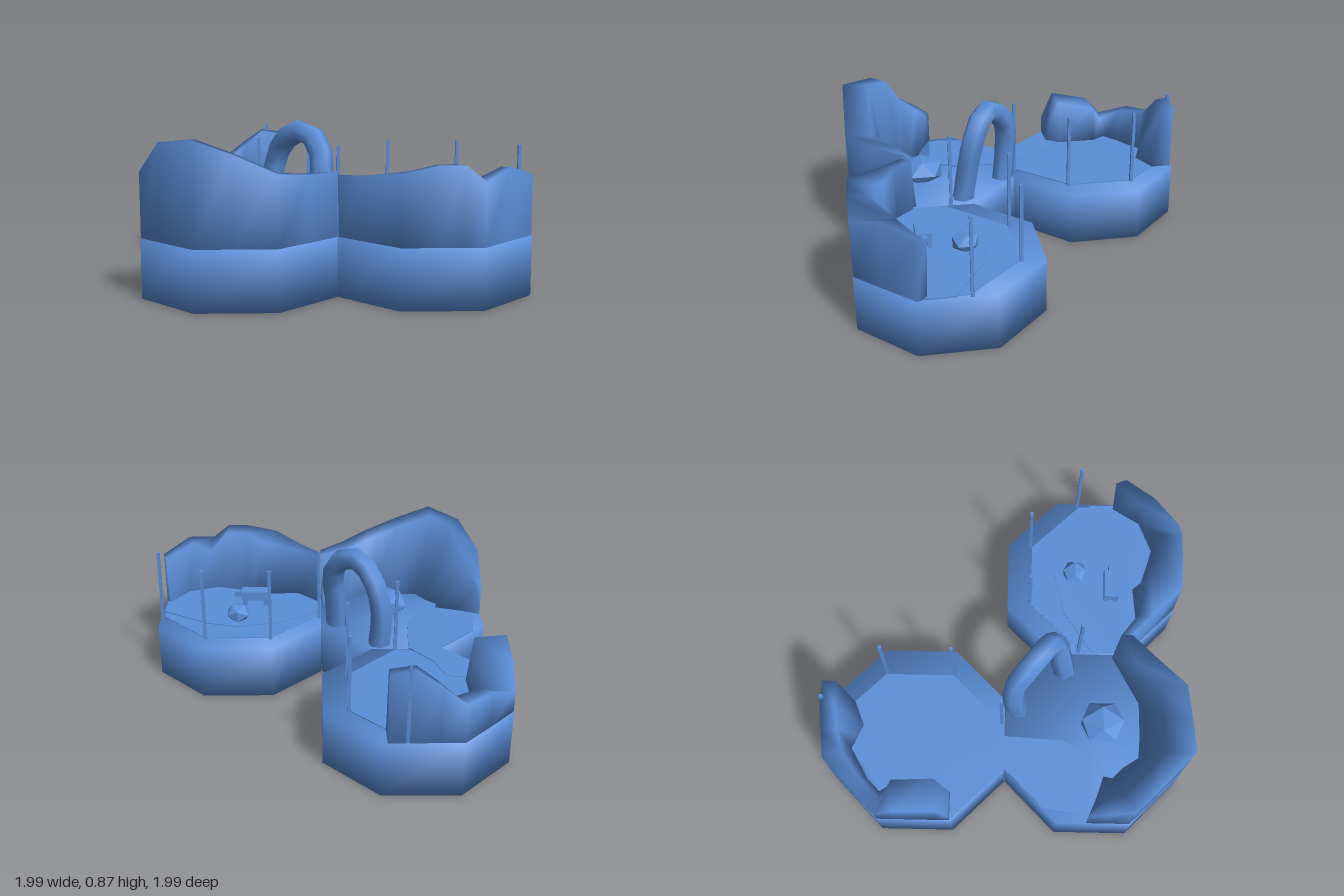
import * as THREE from 'three';
import { mergeVertices } from 'three/addons/utils/BufferGeometryUtils.js';

const blue = new THREE.MeshStandardMaterial({ color: 0x5b8fd9 });
const rockBlue = new THREE.MeshStandardMaterial({ color: 0x5b8fd9, flatShading: true });
const FLOOR = 0.312;

// Shares vertices so that the shading runs smoothly over the edges
function smooth(geometry) {
  geometry.deleteAttribute('normal');
  geometry.deleteAttribute('uv');
  const merged = mergeVertices(geometry, 1e-4);
  merged.computeVertexNormals();
  return merged;
}

// Lofts a wall; each station is [outer x, z, inner top x, z, inner foot x, z, height]
function wallGeometry(stations) {
  const pos = [], idx = [];
  for (const [ox, oz, tx, tz, fx, fz, h] of stations) {
    pos.push(ox, FLOOR, oz, ox, h, oz, tx, h - 0.01, tz, fx, FLOOR, fz);
  }
  for (let i = 0; i < stations.length - 1; i++) {
    for (let j = 0; j < 4; j++) {
      const a = i * 4 + j, b = i * 4 + (j + 1) % 4;
      idx.push(a, b, a + 4, b, b + 4, a + 4);
    }
  }
  const e = (stations.length - 1) * 4;
  idx.push(0, 2, 1, 0, 3, 2, e, e + 1, e + 2, e, e + 2, e + 3);
  const g = new THREE.BufferGeometry();
  g.setAttribute('position', new THREE.Float32BufferAttribute(pos, 3));
  g.setIndex(idx);
  g.computeVertexNormals();
  return g;
}

// Thin flat layer lying on the floor
function plateGeometry(points, thickness) {
  const shape = new THREE.Shape(points.map(([x, z]) => new THREE.Vector2(x, -z)));
  return new THREE.ExtrudeGeometry(shape, { depth: thickness, bevelEnabled: false })
    .rotateX(-Math.PI / 2).translate(0, FLOOR, 0);
}

export function createModel() {
  const model = new THREE.Group();
  const add = (name, geometry, x = 0, y = 0, z = 0, material = blue) => {
    const mesh = new THREE.Mesh(geometry, material);
    mesh.name = name;
    mesh.position.set(x, y, z);
    model.add(mesh);
    return mesh;
  };

  // Octagonal tiles
  const r = 0.497 / Math.cos(Math.PI / 8);
  const tile = smooth(new THREE.CylinderGeometry(r, r, FLOOR, 8).rotateY(Math.PI / 8));
  for (const [name, x, z] of [['backTile', -0.5, -0.5], ['frontTile', -0.5, 0.5], ['sideTile', 0.495, 0.495]]) {
    add(name, tile, x, FLOOR / 2, z);
  }

  // Floor layers
  add('backFloor', plateGeometry([[-0.84, -0.7], [-0.6, -0.87], [-0.32, -0.87], [-0.15, -0.7],
    [-0.15, -0.31], [-0.43, -0.02], [-0.52, -0.02], [-0.64, -0.17], [-0.69, -0.33], [-0.84, -0.36]], 0.005));
  add('path', plateGeometry([[-0.99, -0.3], [-0.84, -0.36], [-0.69, -0.33], [-0.64, -0.17], [-0.51, 0],
    [-0.53, 0.33], [-0.6, 0.49], [-0.93, 0.47], [-0.95, 0.42], [-0.92, 0.22], [-0.8, 0.1], [-0.7, 0]], 0.008));
  add('sideStep', plateGeometry([[0.01, 0.45], [0.3, 0.14], [0.69, 0.14], [0.97, 0.43],
    [0.97, 0.65], [0.01, 0.65]], 0.003));
  add('sideFloor', plateGeometry([[0.01, 0.5], [0.25, 0.34], [0.5, 0.28], [0.7, 0.33], [0.98, 0.5],
    [0.98, 0.64], [0.86, 0.81], [0.68, 0.88], [0.46, 0.81], [0.15, 0.78], [0.01, 0.65]], 0.008));

  // Rocky walls along the outer edges
  add('frontWall', wallGeometry([
    [-0.002, 0.7, -0.002, 0.64, -0.02, 0.62, 0.65],
    [-0.15, 0.85, -0.17, 0.73, -0.17, 0.7, 0.65],
    [-0.295, 0.993, -0.3, 0.84, -0.3, 0.77, 0.67],
    [-0.5, 0.993, -0.5, 0.84, -0.5, 0.77, 0.76],
    [-0.705, 0.993, -0.7, 0.84, -0.62, 0.76, 0.835],
    [-0.88, 0.82, -0.82, 0.73, -0.68, 0.67, 0.81],
    [-0.995, 0.7, -0.9, 0.64, -0.74, 0.61, 0.65],
    [-0.995, 0.56, -0.92, 0.54, -0.73, 0.56, 0.57],
    [-0.995, 0.46, -0.96, 0.48, -0.85, 0.52, 0.5],
  ]));
  add('backWall', wallGeometry([
    [-0.995, -0.3, -0.85, -0.3, -0.84, -0.3, 0.42],
    [-0.995, -0.37, -0.82, -0.38, -0.79, -0.38, 0.59],
    [-0.995, -0.6, -0.82, -0.61, -0.79, -0.62, 0.54],
    [-0.995, -0.7, -0.91, -0.68, -0.84, -0.7, 0.43],
    [-0.85, -0.85, -0.8, -0.79, -0.77, -0.77, 0.52],
    [-0.705, -0.993, -0.66, -0.89, -0.6, -0.87, 0.53],
    [-0.58, -0.993, -0.56, -0.91, -0.53, -0.84, 0.63],
    [-0.45, -0.993, -0.45, -0.92, -0.46, -0.81, 0.72],
    [-0.32, -0.993, -0.32, -0.92, -0.32, -0.87, 0.7],
  ]));
  add('sideWall', wallGeometry([
    [0.99, 0.69, 0.97, 0.63, 0.96, 0.64, 0.63],
    [0.84, 0.845, 0.81, 0.76, 0.86, 0.8, 0.685],
    [0.7, 0.99, 0.7, 0.76, 0.68, 0.87, 0.63],
    [0.6, 0.99, 0.6, 0.88, 0.58, 0.84, 0.71],
    [0.48, 0.99, 0.48, 0.86, 0.46, 0.8, 0.71],
    [0.29, 0.99, 0.35, 0.8, 0.42, 0.75, 0.67],
    [0.12, 0.82, 0.13, 0.74, 0.15, 0.77, 0.64],
    [0.002, 0.7, 0.002, 0.64, 0.02, 0.64, 0.63],
  ]));

  // Stone arch between two tiles
  const archPath = new THREE.CatmullRomCurve3([
    [-0.1, 0.3, 0.34], [-0.09, 0.5, 0.31], [-0.07, 0.66, 0.28], [-0.13, 0.79, 0.22],
    [-0.22, 0.8, 0.16], [-0.31, 0.69, 0.06], [-0.35, 0.5, 0.05], [-0.34, 0.3, 0.07],
  ].map((p) => new THREE.Vector3(...p)));
  add('arch', smooth(new THREE.TubeGeometry(archPath, 12, 0.065, 6, false)));

  // Corner posts
  const post = new THREE.BoxGeometry(0.018, 0.44, 0.018);
  const posts = [[-0.42, -0.985], [-0.14, -0.69], [-0.14, -0.3], [-0.43, -0.02],
    [0.3, 0.13], [0.69, 0.13], [0.98, 0.42], [0.01, 0.42]];
  for (const [x, z] of posts) add('post', post, x, 0.53, z);

  // Boulders
  const largeBoulder = add('largeBoulder', new THREE.IcosahedronGeometry(1, 0), -0.425, 0.355, 0.555, rockBlue);
  largeBoulder.scale.set(0.13, 0.09, 0.14);
  const smallBoulder = add('smallBoulder', new THREE.IcosahedronGeometry(1, 0), 0.51, 0.355, 0.4, rockBlue);
  smallBoulder.scale.set(0.075, 0.06, 0.08);

  // Small four-legged animal
  add('animalBody', new THREE.BoxGeometry(0.17, 0.055, 0.085), 0.415, 0.385, 0.615);
  add('animalHead', new THREE.BoxGeometry(0.05, 0.035, 0.03), 0.52, 0.39, 0.615);
  const leg = new THREE.BoxGeometry(0.025, 0.05, 0.02);
  for (const x of [0.35, 0.48]) for (const z of [0.585, 0.645]) add('animalLeg', leg, x, 0.335, z);

  return model;
}
